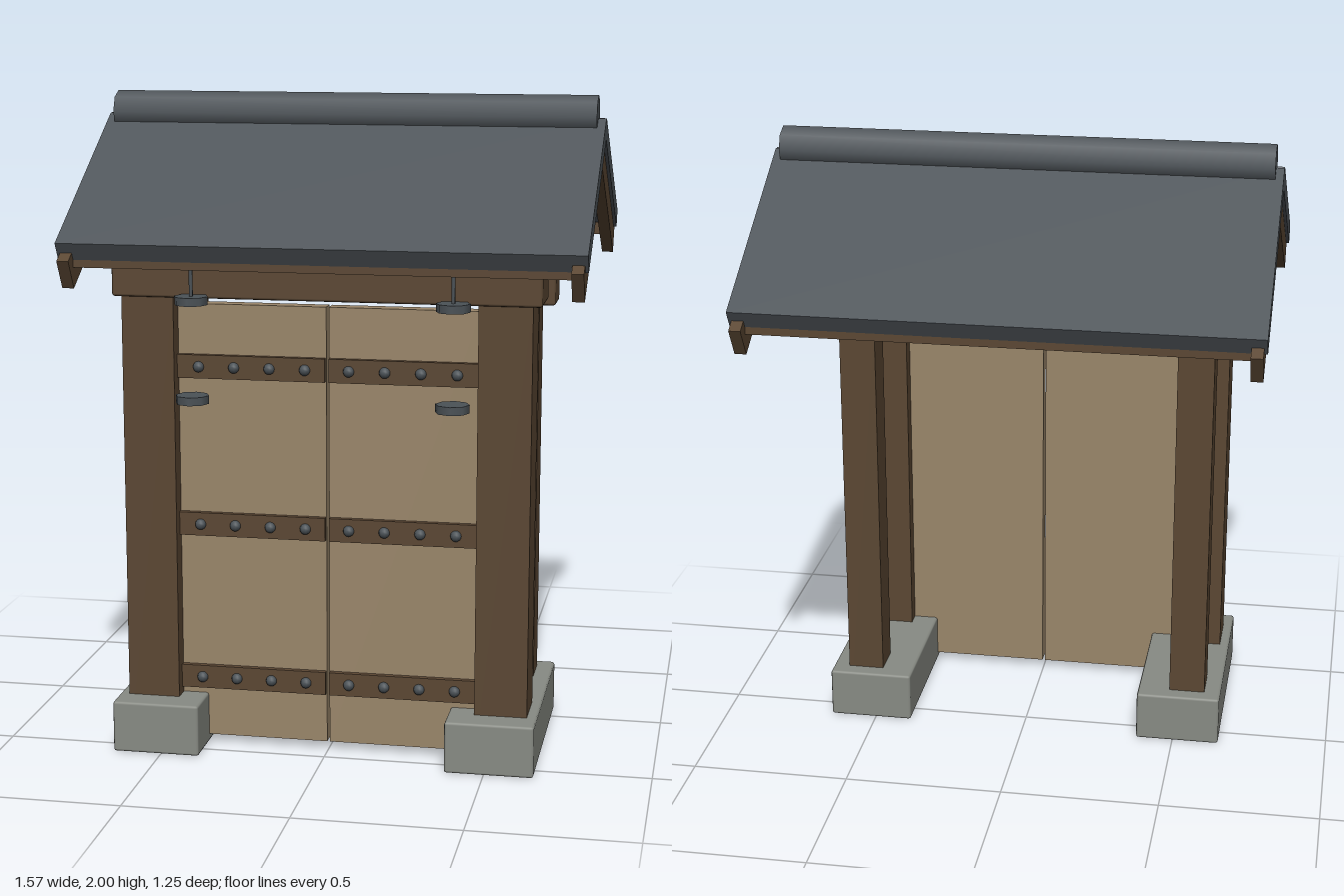
import * as THREE from 'three';
import { RoundedBoxGeometry } from 'three/addons/geometries/RoundedBoxGeometry.js';

const material = (name, color) => {
  const m = new THREE.MeshStandardMaterial({ color });
  m.name = name;
  return m;
};

export function createModel() {
  const wood = material('dark timber', 0x5b4733);
  const plank = material('door planks', 0x9a866a);
  const stone = material('foundation stone', 0x888b84);
  const tile = material('slate roof', 0x50565b);
  const iron = material('iron', 0x4b5257);

  const root = new THREE.Group();
  root.name = 'roofedGate';

  const add = (name, geometry, mat, x, y, z, parent = root) => {
    const mesh = new THREE.Mesh(geometry, mat);
    mesh.name = name;
    mesh.position.set(x, y, z);
    parent.add(mesh);
    return mesh;
  };
  const box = (w, h, d) => new THREE.BoxGeometry(w, h, d);
  const softBox = (w, h, d) => new RoundedBoxGeometry(w, h, d, 1, 0.008);

  for (const [side, s] of [['left', 1], ['right', -1]]) {
    // Foundation and posts
    add(side + 'Foundation', softBox(0.27, 0.16, 0.65), stone, s * 0.515, 0.085, 0.245);
    add(side + 'FrontPost', box(0.16, 1.42, 0.155), wood, s * 0.54, 0.72, 0.408);
    add(side + 'BackPost', box(0.115, 1.37, 0.115), wood, s * 0.54, 0.695, 0.028);

    // Door leaf with studded straps on the front
    const door = new THREE.Group();
    door.name = side + 'Door';
    root.add(door);
    add('leaf', box(0.457, 1.36, 0.05), plank, s * 0.2325, 0.71, 0.405, door);
    for (const y of [0.222, 0.71, 1.2]) {
      add('strap', box(0.455, 0.072, 0.02), wood, s * 0.2335, y, 0.438, door);
      for (let i = 0; i < 4; i++) {
        add('stud', new THREE.SphereGeometry(0.017, 10, 8), iron, s * (0.067 + i * 0.109), y, 0.449, door);
      }
    }

    // Hanging lantern: rod and two caps
    const lantern = new THREE.Group();
    lantern.name = side + 'Lantern';
    lantern.position.set(s * 0.392, 0, 0.532);
    root.add(lantern);
    add('rod', new THREE.CylinderGeometry(0.006, 0.006, 0.14, 6), iron, 0, 1.485, 0, lantern);
    for (const y of [1.117, 1.415]) {
      add('cap', new THREE.CylinderGeometry(0.051, 0.051, 0.025, 8), iron, 0, y, 0, lantern);
    }
  }

  // Cross beams
  add('frontBeam', softBox(1.295, 0.16, 0.175), wood, 0, 1.495, 0.408);
  add('backBeam', softBox(1.295, 0.105, 0.125), wood, 0, 1.413, 0.028);

  // Two roof slopes with gable rafters and eave battens
  for (const [side, s] of [['front', 1], ['back', -1]]) {
    const tilt = s * Math.PI / 6;
    add(side + 'RoofSlope', box(1.57, 0.06, 0.69), tile, 0, 1.731, s * 0.291).rotation.x = tilt;
    add(side + 'EaveBatten', box(1.49, 0.04, 0.04), wood, 0, 1.53, s * 0.555);
    for (const x of [-0.757, 0.757]) {
      add(side + 'GableRafter', box(0.036, 0.1, 0.69), wood, x, 1.663, s * 0.299).rotation.x = tilt;
    }
  }

  // Ridge roll
  const ridge = new THREE.CylinderGeometry(0.064, 0.064, 1.52, 8);
  ridge.rotateZ(Math.PI / 2);
  add('ridgeRoll', ridge, tile, 0, 1.936, 0);

  return root;
}
